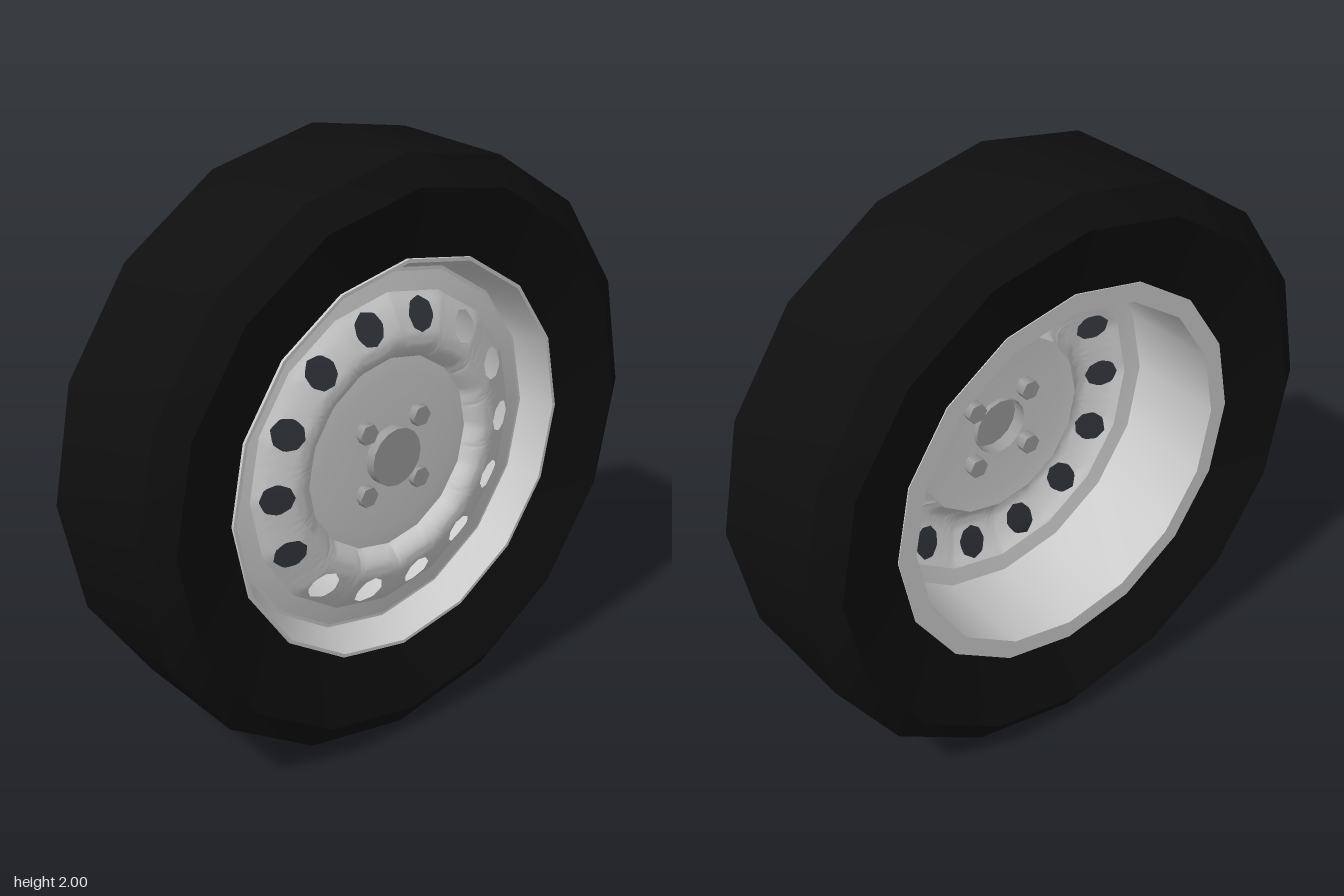
import * as THREE from 'three';
import { mergeVertices, toCreasedNormals } from 'three/addons/utils/BufferGeometryUtils.js';

const SIDES = 16, HOLES = 14, HOLE_RING = 0.47, HOLE_R = 0.053;
const steel = new THREE.MeshStandardMaterial({ color: 0xcccccc, side: THREE.DoubleSide });
const darkSteel = new THREE.MeshStandardMaterial({ color: 0x9b9b9b, side: THREE.DoubleSide });
const rubber = new THREE.MeshStandardMaterial({ color: 0x0e0e0e });

// Spins [radius, x] points about the x axis
function spin(name, points, material) {
  const geo = new THREE.LatheGeometry(points.map(p => new THREE.Vector2(...p)), SIDES);
  geo.rotateZ(-Math.PI / 2);
  const mesh = new THREE.Mesh(toCreasedNormals(geo, 0.45), material);
  mesh.name = name;
  return mesh;
}

// Radius factor of a regular polygon with a corner at angle 0
function polygon(angle, sides) {
  const step = 2 * Math.PI / sides;
  const a = ((angle % step) + step) % step;
  return Math.cos(step / 2) / Math.cos(a - step / 2);
}

// Cross-section of the raised ring: [radius, x] from plate edge to rim
const BULGE = [[0.33, 0.152], [0.35, 0.182], [0.38, 0.2], [0.42, 0.2], [0.47, 0.182], [0.51, 0.163], [0.545, 0.138]];
function bulgeX(r) {
  for (let i = 1; i < BULGE.length; i++) {
    const [r0, x0] = BULGE[i - 1], [r1, x1] = BULGE[i];
    if (r <= r1) return x0 + (x1 - x0) * Math.max(0, (r - r0) / (r1 - r0));
  }
  return BULGE[BULGE.length - 1][1];
}

// Raised ring made of equal sectors, each a patch around one vent hole
function ventedRing() {
  const half = Math.PI / HOLES, perSide = 8, rings = 8, count = perSide * 4;
  const rIn = BULGE[0][0], rOut = BULGE[BULGE.length - 1][0];
  const corners = [[-1, rIn], [1, rIn], [1, rOut], [-1, rOut]];
  const pos = [], index = [];
  for (let h = 0; h < HOLES; h++) {
    const mid = Math.PI / 2 + h * 2 * half;
    const base = pos.length / 3;
    for (let i = 0; i < count; i++) {
      // point on the sector border
      const s = Math.floor(i / perSide), f = (i % perSide) / perSide;
      const [c0, c1] = [corners[s], corners[(s + 1) % 4]];
      const a = half * (c0[0] + (c1[0] - c0[0]) * f);
      const r = (c0[1] + (c1[1] - c0[1]) * f) * polygon(mid + a, SIDES);
      // matching point on the eight-sided hole
      const u = HOLE_RING * a, v = r - HOLE_RING;
      const t = Math.atan2(v, u), hr = HOLE_R * polygon(t, 8);
      for (let k = 0; k <= rings; k++) {
        const m = k / rings;
        const uu = hr * Math.cos(t) * (1 - m) + u * m;
        const rr = HOLE_RING + hr * Math.sin(t) * (1 - m) + v * m;
        const ang = mid + uu / HOLE_RING;
        pos.push(bulgeX(rr / polygon(ang, SIDES)), rr * Math.cos(ang), rr * Math.sin(ang));
      }
    }
    for (let i = 0; i < count; i++) {
      const p = base + i * (rings + 1), q = base + ((i + 1) % count) * (rings + 1);
      for (let k = 0; k < rings; k++) {
        index.push(p + k, p + k + 1, q + k + 1, p + k, q + k + 1, q + k);
      }
    }
  }
  let geo = new THREE.BufferGeometry();
  geo.setAttribute('position', new THREE.Float32BufferAttribute(pos, 3));
  geo.setIndex(index);
  geo = mergeVertices(geo, 1e-4);
  geo.computeVertexNormals();
  const mesh = new THREE.Mesh(geo, steel);
  mesh.name = 'ventedRing';
  return mesh;
}

export function createModel() {
  const wheel = new THREE.Group();
  wheel.name = 'wheel';

  // Tyre, closed around the rim
  wheel.add(spin('tyre', [
    [0.675, -0.225], [0.91, -0.283], [1, -0.22], [1, 0.22], [0.91, 0.283], [0.675, 0.225], [0.675, -0.225],
  ].map(([r, x]) => [r, x]), rubber));

  // Rim: back flange, barrel, seat for the disc, front wall and lip
  wheel.add(spin('rim', [
    [0.677, -0.22], [0.675, -0.228], [0.61, -0.228], [0.605, 0.125],
    [0.62, 0.125], [0.665, 0.235], [0.677, 0.235], [0.677, 0.22],
  ], steel));
  wheel.add(spin('discFlange', [[0.545, 0.138], [0.608, 0.128]], steel));

  // Disc with vent holes and recessed centre plate
  wheel.add(ventedRing());
  wheel.add(spin('centrePlate', [[0.1, 0.157], [0.275, 0.157], [0.33, 0.152]], steel));

  // Hub cap, open at the back
  wheel.add(spin('hubCap', [[0.1, 0.14], [0.1, 0.192], [0, 0.192]], darkSteel));

  // Four hexagonal wheel nuts
  const nutGeo = new THREE.CylinderGeometry(0.036, 0.036, 0.07, 6).rotateZ(-Math.PI / 2);
  for (const sy of [-1, 1]) {
    for (const sz of [-1, 1]) {
      const nut = new THREE.Mesh(nutGeo, darkSteel);
      nut.name = 'wheelNut';
      nut.position.set(0.152, sy * 0.11, sz * 0.11);
      wheel.add(nut);
    }
  }

  wheel.position.y = 1;
  const model = new THREE.Group();
  model.name = 'roadWheel';
  model.add(wheel);
  return model;
}
